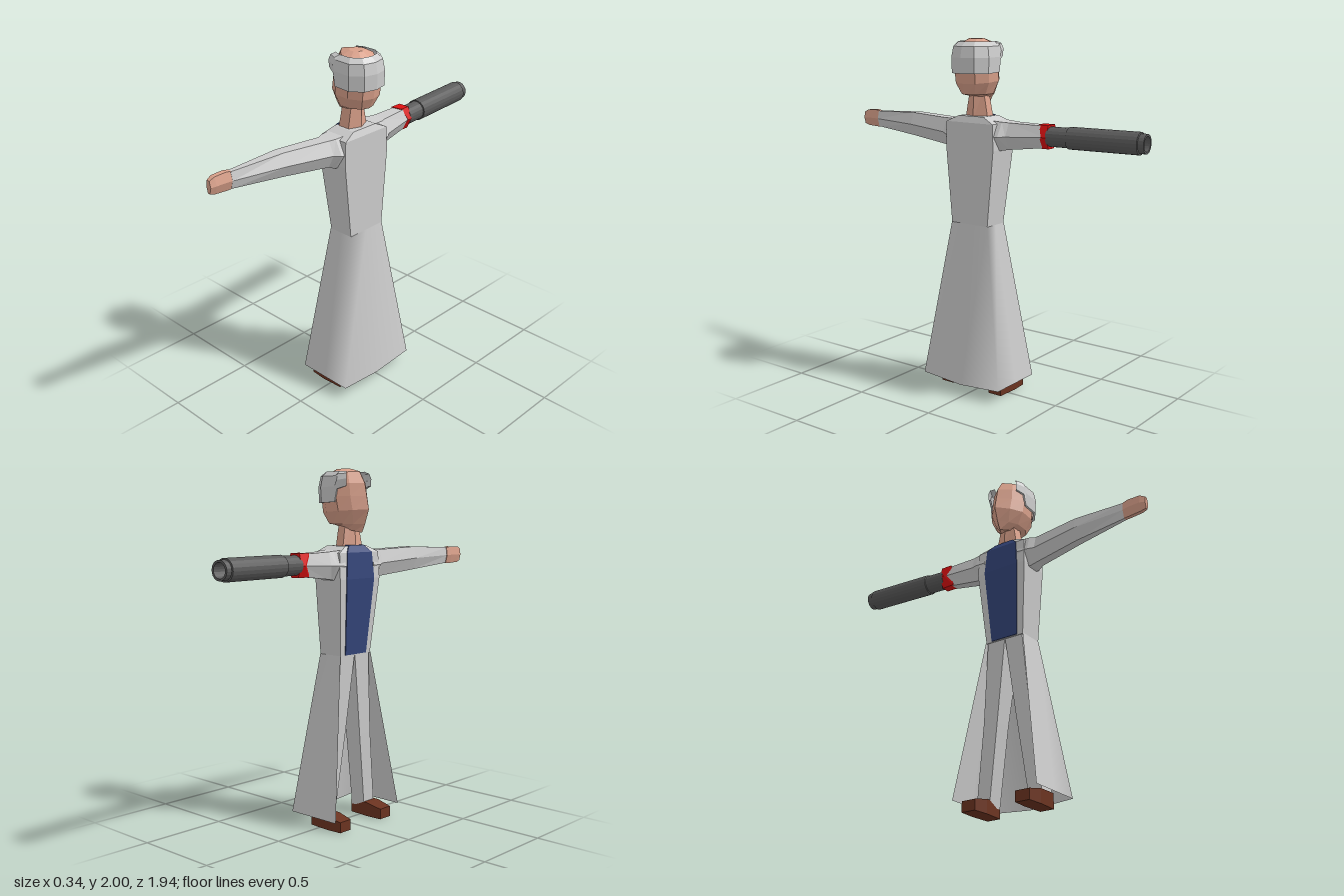
import * as THREE from 'three';

const CZ = 0.037; // body centre line in z; the figure looks towards -x
const MIRROR = [1, -1];

const mat = (color, flat = true) =>
  new THREE.MeshStandardMaterial({ color, flatShading: flat, side: THREE.DoubleSide });
const cloth = mat(0xcccccc), skin = mat(0xd9a08a), red = mat(0xdd1111);
const blue = mat(0x34457a), brown = mat(0x6b3320), metal = mat(0x5a5a5a);

// Skin over rows of [x, y, z] points; closed rows get end caps and outward faces
function loft(rows, closed = true) {
  const n = rows[0].length, pos = rows.flat(), idx = [];
  for (let r = 0; r < rows.length - 1; r++) {
    for (let i = 0; i < (closed ? n : n - 1); i++) {
      const a = r * n + i, b = r * n + (i + 1) % n;
      idx.push(a, b, b + n, a, b + n, a + n);
    }
  }
  if (closed) {
    const last = (rows.length - 1) * n;
    for (let i = 1; i < n - 1; i++) idx.push(0, i + 1, i, last, last + i, last + i + 1);
    const v = pos.map(p => new THREE.Vector3(...p));
    let volume = 0;
    for (let i = 0; i < idx.length; i += 3) {
      volume += v[idx[i]].dot(v[idx[i + 1]].clone().cross(v[idx[i + 2]]));
    }
    if (volume < 0) idx.reverse();
  }
  const g = new THREE.BufferGeometry();
  g.setAttribute('position', new THREE.Float32BufferAttribute(pos.flat(), 3));
  g.setIndex(idx);
  g.computeVertexNormals();
  return g;
}

// Six-sided limb section across z
const HEX = [[0.15, 1], [0.75, 1], [1, 0.5], [0.7, 0], [0.25, 0], [0, 0.5]];
const limbRow = ([z, x0, x1, y0, y1]) =>
  HEX.map(([u, v]) => [x0 + u * (x1 - x0), y0 + v * (y1 - y0), z]);
const limb = sections => loft(sections.map(limbRow));

// Horizontal rectangle at height y
const rectRow = (y, x0, x1, z, hw) =>
  [[x0, y, z - hw], [x1, y, z - hw], [x1, y, z + hw], [x0, y, z + hw]];

export function createModel() {
  const model = new THREE.Group();
  const add = (name, geometry, material) => {
    const m = new THREE.Mesh(geometry, material);
    m.name = name;
    model.add(m);
    return m;
  };

  // Coat body
  add('coatBody', loft([
    rectRow(0.97, -0.072, 0.08, CZ, 0.123),
    rectRow(1.40, -0.108, 0.08, CZ, 0.162),
    rectRow(1.545, -0.1, 0.08, CZ, 0.158),
    rectRow(1.58, -0.075, 0.065, CZ, 0.085),
  ]), cloth);

  // Shirt panel on the chest
  add('shirt', loft([
    rectRow(0.975, -0.077, -0.05, CZ, 0.085),
    rectRow(1.40, -0.113, -0.06, CZ, 0.112),
    rectRow(1.545, -0.105, -0.06, CZ, 0.1),
    rectRow(1.584, -0.079, -0.05, CZ, 0.06),
  ]), blue);

  // Long coat skirt, open at the front
  const skirtRow = (y, sag, x0, x1, hw) => [
    [x0, y, CZ - hw], [(x0 + x1) / 2, y, CZ - hw], [x1, y, CZ - hw],
    [x1, y - sag, CZ],
    [x1, y, CZ + hw], [(x0 + x1) / 2, y, CZ + hw], [x0, y, CZ + hw],
  ];
  add('coatSkirt', loft([
    skirtRow(0.975, 0, -0.075, 0.08, 0.125),
    skirtRow(0.07, 0.02, -0.17, 0.17, 0.266),
  ], false), mat(0xcccccc, false));

  // Legs and shoes
  for (const s of MIRROR) {
    add('leg', loft([
      rectRow(0.05, -0.03, 0.065, CZ + s * 0.168, 0.042),
      rectRow(0.5, -0.05, 0.055, CZ + s * 0.108, 0.045),
      rectRow(0.975, -0.068, 0.075, CZ + s * 0.058, 0.057),
    ]), cloth);
    const shoeRow = ([x, h, hw]) => [[0, -1], [0, 1], [h, 1], [h, -1]]
      .map(([y, k]) => [x, y, CZ + s * 0.17 + k * hw]);
    add('shoe', loft([[0.07, 0.085, 0.042], [-0.06, 0.08, 0.05], [-0.155, 0.06, 0.043]]
      .map(shoeRow)), brown);
  }

  // Neck
  add('neck', loft([
    [1.56, -0.075, 0.045, 0.075], [1.72, -0.065, 0.04, 0.045],
  ].map(([y, x0, x1, hw]) => HEX.map(([u, v]) =>
    [x0 + u * (x1 - x0), y, CZ + (v * 2 - 1) * hw]))), skin);

  // Head: rings of [front y, back y, front x, back x, half width]
  const half = [[0, 0], [0.2, 0.6], [0.42, 1], [0.72, 1], [0.94, 0.6], [1, 0]];
  const ring = [...half, ...half.slice(1, 5).reverse().map(([u, v]) => [u, -v])];
  add('head', loft([
    [1.652, 1.695, -0.12, 0.06, 0.035],
    [1.70, 1.70, -0.143, 0.10, 0.075],
    [1.78, 1.76, -0.17, 0.13, 0.11],
    [1.85, 1.85, -0.155, 0.14, 0.115],
    [1.92, 1.92, -0.14, 0.13, 0.11],
    [1.985, 1.97, -0.10, 0.10, 0.085],
    [2.0, 2.0, -0.04, 0.05, 0.04],
  ].map(([yf, yb, xf, xb, w]) => ring.map(([u, v]) =>
    [xf + u * (xb - xf), yf + u * (yb - yf), CZ + v * w]))), skin);

  // Hair band around sides and back: columns of [x, half width, lower y]
  const side = [[-0.095, 0.1, 1.905], [-0.045, 0.122, 1.89], [-0.03, 0.125, 1.82],
    [0.07, 0.125, 1.815], [0.135, 0.075, 1.815]];
  const columns = [...side, [0.153, 0, 1.815],
    ...[...side].reverse().map(([x, w, y]) => [x, -w, y])];
  add('hair', loft([[0, 0.9], [0, 1], [0.5, 1.02], [0.85, 0.94], [1, 0.74]]
    .map(([t, k]) => columns.map(([x, w, low]) =>
      [x * k, low + t * (1.985 - low), CZ + w * k]))
  , false), cloth);

  // Sleeves
  add('longSleeve', limb([
    [0.15, -0.11, 0.08, 1.38, 1.56], [0.215, -0.105, 0.07, 1.385, 1.556],
    [0.25, -0.085, 0.045, 1.40, 1.553], [0.53, -0.11, 0.0, 1.428, 1.562],
    [0.845, -0.102, -0.058, 1.455, 1.548],
  ]), cloth);
  add('shortSleeve', limb([
    [-0.08, -0.11, 0.08, 1.385, 1.56], [-0.145, -0.105, 0.07, 1.40, 1.556],
    [-0.18, -0.095, 0.045, 1.405, 1.553], [-0.40, -0.098, 0.0, 1.43, 1.547],
  ]), cloth);

  // Hand
  add('hand', limb([
    [0.835, -0.106, -0.058, 1.453, 1.548], [0.87, -0.112, -0.06, 1.452, 1.553],
    [0.94, -0.114, -0.064, 1.456, 1.55], [0.97, -0.106, -0.072, 1.465, 1.535],
  ]), skin);

  // Armband with a zigzag inner edge
  const inner = [-0.345, -0.355, -0.385, -0.33, -0.335, -0.385];
  const bandRow = limbRow([-0.414, -0.104, 0.006, 1.424, 1.553]);
  add('armband', loft([
    bandRow.map(([x, y], i) => [x, y, inner[i]]), bandRow,
  ]), red);

  // Arm cannon: stepped hollow barrel
  const start = new THREE.Vector3(-0.05, 1.49, -0.405);
  const axis = new THREE.Vector3(-0.095, 1.49, -0.963).sub(start);
  const L = axis.length();
  const profile = [[0, 0], [0.054, 0], [0.054, 0.12], [0.06, 0.122], [0.06, L - 0.035],
    [0.052, L - 0.033], [0.052, L], [0.04, L], [0.04, L - 0.12], [0, L - 0.12]];
  const cannon = add('armCannon', new THREE.LatheGeometry(
    profile.map(p => new THREE.Vector2(...p)), 20), metal);
  cannon.position.copy(start);
  cannon.quaternion.setFromUnitVectors(new THREE.Vector3(0, 1, 0), axis.normalize());

  return model;
}
